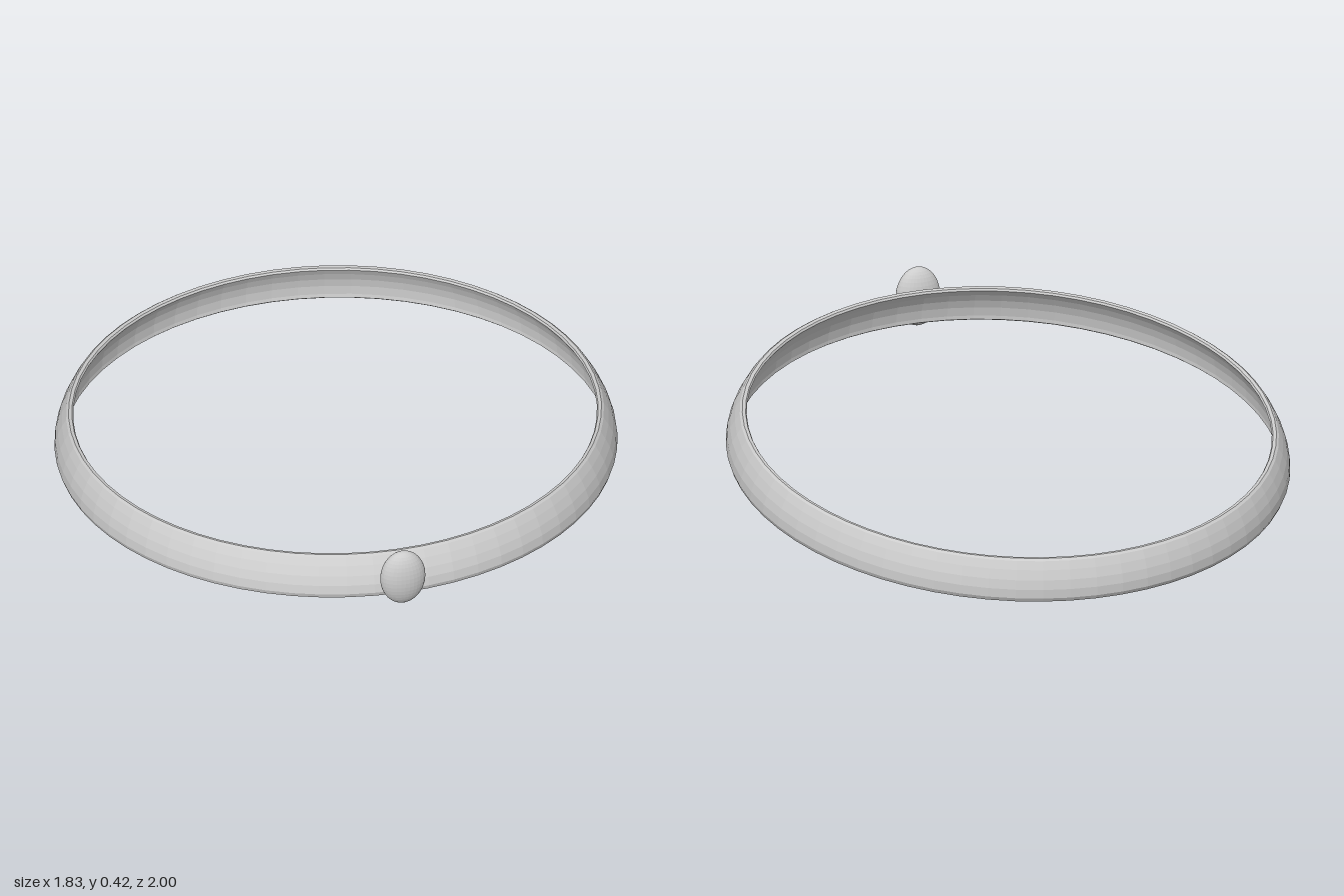
import * as THREE from 'three';

export function createModel() {
  const model = new THREE.Group();
  const metal = new THREE.MeshStandardMaterial({ color: 0xcccccc, flatShading: true });
  metal.name = 'pale grey metal';

  // Closed cross-section of the band: outer wall upwards, inner wall back down
  const profile = [
    [0.897, 0], [0.912, 0.006], [0.917, 0.02], [0.914, 0.05], [0.905, 0.08],
    [0.891, 0.11], [0.876, 0.135], [0.868, 0.141], [0.857, 0.139], [0.853, 0.132],
    [0.868, 0.108], [0.881, 0.08], [0.889, 0.05], [0.892, 0.018], [0.891, 0.005], [0.897, 0],
  ].map(([r, y]) => new THREE.Vector2(r, y));

  // Slightly oval band, raised at the front
  const band = new THREE.Mesh(new THREE.LatheGeometry(profile, 64), metal);
  band.name = 'band';
  band.scale.z = 1.068;
  band.rotation.x = -0.123;
  band.position.set(0, 0.12, -0.022);
  model.add(band);

  // Upright oval stone on the front of the band
  const stone = new THREE.Mesh(new THREE.SphereGeometry(1, 32, 20), metal);
  stone.name = 'frontStone';
  stone.scale.set(0.075, 0.102, 0.043);
  stone.position.set(0, 0.322, 0.957);
  model.add(stone);

  return model;
}
